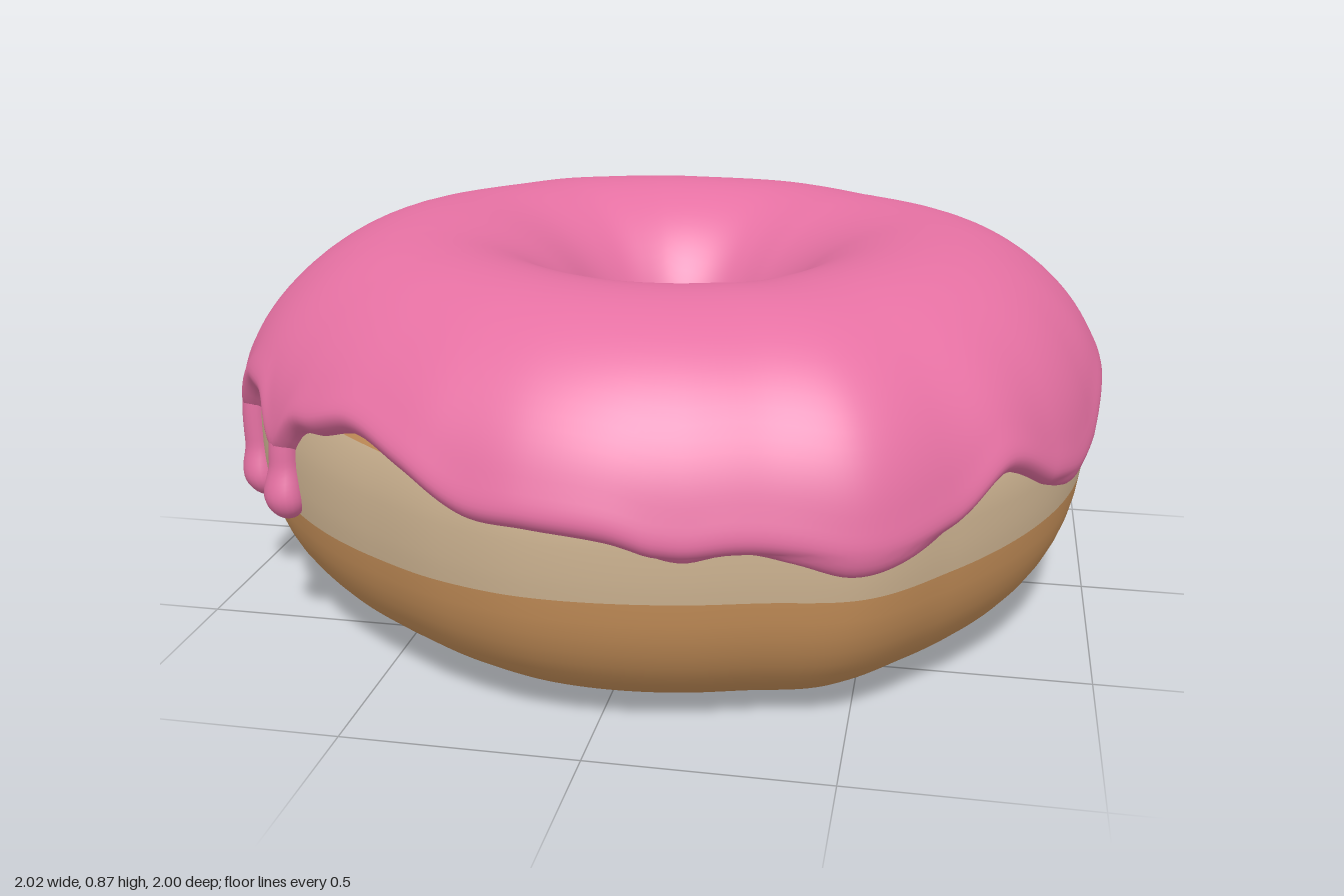
import * as THREE from 'three';

const RAD = Math.PI / 180;
const SEG = 360;
const MID = 0.43;     // height of the widest ring
const THICK = 0.026;  // icing thickness
const SQUARE = 0.82;  // squareness of the outer lower side

// Smooth periodic curve through [degrees, value] pairs
function periodic(points) {
  const n = points.length;
  const at = (i) => {
    const k = ((i % n) + n) % n;
    return [points[k][0] + 360 * Math.floor(i / n), points[k][1]];
  };
  const slope = (i) => {
    const a = at(i - 1), b = at(i + 1);
    return (b[1] - a[1]) / (b[0] - a[0]);
  };
  return (deg) => {
    let d = ((deg % 360) + 360) % 360;
    if (d < points[0][0]) d += 360;
    let i = 0;
    while (at(i + 1)[0] <= d) i++;
    const [x0, y0] = at(i), [x1, y1] = at(i + 1);
    const w = x1 - x0, t = (d - x0) / w, t2 = t * t, t3 = t2 * t;
    return (2 * t3 - 3 * t2 + 1) * y0 + (t3 - 2 * t2 + t) * w * slope(i)
      + (3 * t2 - 2 * t3) * y1 + (t3 - t2) * w * slope(i + 1);
  };
}

// Angles run from +x (0) through the front, +z (90)
const outerRadius = periodic([[0, 1.0], [22, 1.0], [45, 1.007], [58, 1.03], [69, 0.995], [79, 0.995],
  [97, 1.0], [108, 0.987], [121, 0.97], [139, 0.98], [151, 1.0], [161, 1.005], [177, 0.998],
  [204, 1.0], [221, 0.992], [233, 1.013], [245, 0.99], [256, 0.988], [270, 0.985], [285, 1.015],
  [294, 1.005], [305, 0.984], [316, 1.003], [330, 1.018], [346, 1.015]]);
const holeRadius = periodic([[0, 0.18], [45, 0.162], [90, 0.188], [135, 0.175], [180, 0.152],
  [225, 0.198], [270, 0.238], [315, 0.21], [340, 0.195]]);
const edgeHeight = periodic([[3, 0.5], [18, 0.395], [26, 0.42], [37, 0.5], [45, 0.44], [53, 0.39],
  [60, 0.375], [66, 0.405], [72.5, 0.43], [79, 0.415], [87, 0.455], [96, 0.47], [104, 0.475],
  [113, 0.53], [123, 0.565], [132, 0.53], [148, 0.54], [170, 0.52], [184, 0.54], [195, 0.48],
  [205, 0.45], [215, 0.475], [226, 0.505], [245, 0.515], [265, 0.535], [275, 0.55], [286, 0.54],
  [296, 0.535], [315, 0.49], [323, 0.5], [333, 0.52], [341, 0.51], [354, 0.51]]);
const bandTop = periodic([[0, 0.5], [20, 0.5], [60, 0.5], [100, 0.53], [123, 0.552], [150, 0.57],
  [185, 0.56], [220, 0.53], [240, 0.503], [250, 0.512], [262, 0.55], [275, 0.54], [288, 0.518],
  [300, 0.528], [313, 0.53], [322, 0.495], [333, 0.508], [345, 0.52], [355, 0.502]]);

// [degrees, lowest height]
const DRIPS = [[140, 0.31], [159, 0.25], [256, 0.27], [305, 0.3], [345.5, 0.31]];

const angleGap = (a, b) => Math.abs(((a - b + 540) % 360) - 180);

function icingEdge(deg) {
  let y = edgeHeight(deg);
  for (const [d] of DRIPS) y -= 0.09 * Math.exp(-((angleGap(deg, d) / 3.4) ** 2));
  return y;
}

// Sizes of the dough cross-section at one angle
function section(deg) {
  const ro = outerRadius(deg) - THICK + 0.004, ri = holeRadius(deg) + 0.015;
  return {
    c: (ro + ri) / 2,
    w: (ro - ri) / 2,
    up: 0.85 - THICK - MID + 0.028 * Math.exp(-((angleGap(deg, 180) / 35) ** 2))
      + 0.005 * Math.cos(3 * deg * RAD),
    down: 0.42 - 0.008 * Math.cos(3 * deg * RAD),
  };
}
const soft = (v, p) => Math.sign(v) * Math.abs(v) ** p;

// Surface point: phi is 0 outside, 90 degrees on top, 180 degrees in the hole
function ringPoint(deg, phi, lift = 0) {
  const shape = section(deg), s = Math.sin(phi), c = Math.cos(phi);
  const p = s < 0 && c > 0 ? SQUARE : 1;
  const r = shape.c + shape.w * soft(c, p) + lift * c;
  const y = MID + (s < 0 ? shape.down : shape.up) * soft(s, p) + lift * s;
  return new THREE.Vector3(r * Math.cos(deg * RAD), y, r * Math.sin(deg * RAD));
}

// The phi on the outside that lies at height y
function phiAt(deg, y) {
  const s = section(deg), d = y - MID;
  return d < 0 ? -Math.asin((-d / s.down) ** (1 / SQUARE)) : Math.asin(d / s.up);
}

// Skin over rows of points, each row closed on itself
function skin(rows) {
  const n = rows[0].length, pos = [], index = [];
  rows.forEach((row) => row.forEach((p) => pos.push(p.x, p.y, p.z)));
  for (let j = 0; j < rows.length - 1; j++) {
    for (let i = 0; i < n; i++) {
      const k = (i + 1) % n, a = j * n, b = a + n;
      index.push(a + i, b + i, a + k, b + i, b + k, a + k);
    }
  }
  const g = new THREE.BufferGeometry();
  g.setAttribute('position', new THREE.Float32BufferAttribute(pos, 3));
  g.setIndex(index);
  g.computeVertexNormals();
  return g;
}

const ringRow = (f) => Array.from({ length: SEG }, (_, i) => f((i * 360) / SEG));

// Dough ring with a pale band around its outer side
function doughGeometry() {
  const low = (d) => phiAt(d, 0.33 + 0.012 * Math.cos((d + 40) * RAD) + 0.006 * Math.sin(5 * d * RAD));
  const high = (d) => phiAt(d, bandTop(d));
  const rows = [], band = 8, rest = 56;
  for (let j = 0; j <= band; j++) {
    rows.push(ringRow((d) => ringPoint(d, THREE.MathUtils.lerp(low(d), high(d), j / band))));
  }
  for (let j = 1; j <= rest; j++) {
    rows.push(ringRow((d) => ringPoint(d, THREE.MathUtils.lerp(high(d), low(d) + 2 * Math.PI, j / rest))));
  }
  const g = skin(rows);
  g.addGroup(0, band * SEG * 6, 0);
  g.addGroup(band * SEG * 6, rest * SEG * 6, 1);
  return g;
}

// Icing shell with rounded, wavy rims that swell where the edge sits high
function icingGeometry() {
  const rows = [], count = 56;
  for (let j = 0; j <= count; j++) {
    const t = j / count, k = t - Math.sin(2 * Math.PI * t) / (2 * Math.PI) * 0.85;
    rows.push(ringRow((d) => {
      const a = phiAt(d, icingEdge(d)), b = Math.PI + 0.06 + 0.02 * Math.sin(4 * d * RAD);
      const phi = THREE.MathUtils.lerp(a, b, k);
      const near = Math.min(1, Math.min(phi - a, b - phi) / 0.09);
      const bead = 0.005 * Math.exp(-(((phi - a - 0.1) / 0.09) ** 2));
      const high = THREE.MathUtils.smoothstep(edgeHeight(d), 0.42, 0.56);
      const swell = 0.02 * high * Math.exp(-(((phi - 0.35) / 0.4) ** 2));
      const round = Math.sqrt(Math.max(0, 1 - (1 - near) ** 2));
      return ringPoint(d, phi, -0.004 + (THICK + 0.004 + bead + swell) * round);
    }));
  }
  return skin(rows);
}

// Drip: narrow neck and round bulb running down the dough
function dripGeometry(deg, bottom) {
  const rows = [], steps = 26, top = edgeHeight(deg) + 0.01, len = top - bottom;
  const tangent = new THREE.Vector3(-Math.sin(deg * RAD), 0, Math.cos(deg * RAD));
  const out = new THREE.Vector3(Math.cos(deg * RAD), 0, Math.sin(deg * RAD));
  for (let j = 0; j <= steps; j++) {
    const t = 1 - Math.cos((j / steps) * Math.PI / 2);
    const h = len * t;
    const fall = THREE.MathUtils.smoothstep(h, 0.05, 0.13);
    const centre = ringPoint(deg, phiAt(deg, bottom + h), 0.018 - 0.008 * fall);
    const bulb = h < 0.052 ? Math.sqrt(Math.max(0, 1 - (1 - h / 0.052) ** 2)) : 1;
    const wide = bulb * (0.053 - 0.015 * fall), deep = bulb * (0.044 - 0.01 * fall);
    rows.push(Array.from({ length: 20 }, (_, i) => {
      const a = (i / 20) * Math.PI * 2;
      return centre.clone().addScaledVector(out, deep * Math.cos(a)).addScaledVector(tangent, wide * Math.sin(a));
    }));
  }
  return skin(rows);
}

export function createModel() {
  const dough = new THREE.MeshStandardMaterial({ name: 'golden dough', color: 0xc8915a });
  const band = new THREE.MeshStandardMaterial({ name: 'pale dough', color: 0xcdb391 });
  const icing = new THREE.MeshStandardMaterial({ name: 'pink icing', color: 0xe671a3 });

  const model = new THREE.Group();
  model.name = 'doughnut';
  const add = (name, geometry, material, parent = model) => {
    const mesh = new THREE.Mesh(geometry, material);
    mesh.name = name;
    parent.add(mesh);
  };

  add('doughRing', doughGeometry(), [band, dough]);
  add('icing', icingGeometry(), icing);
  const drips = new THREE.Group();
  drips.name = 'icingDrips';
  model.add(drips);
  DRIPS.forEach(([deg, bottom], i) => add(`drip${i + 1}`, dripGeometry(deg, bottom), icing, drips));
  return model;
}
